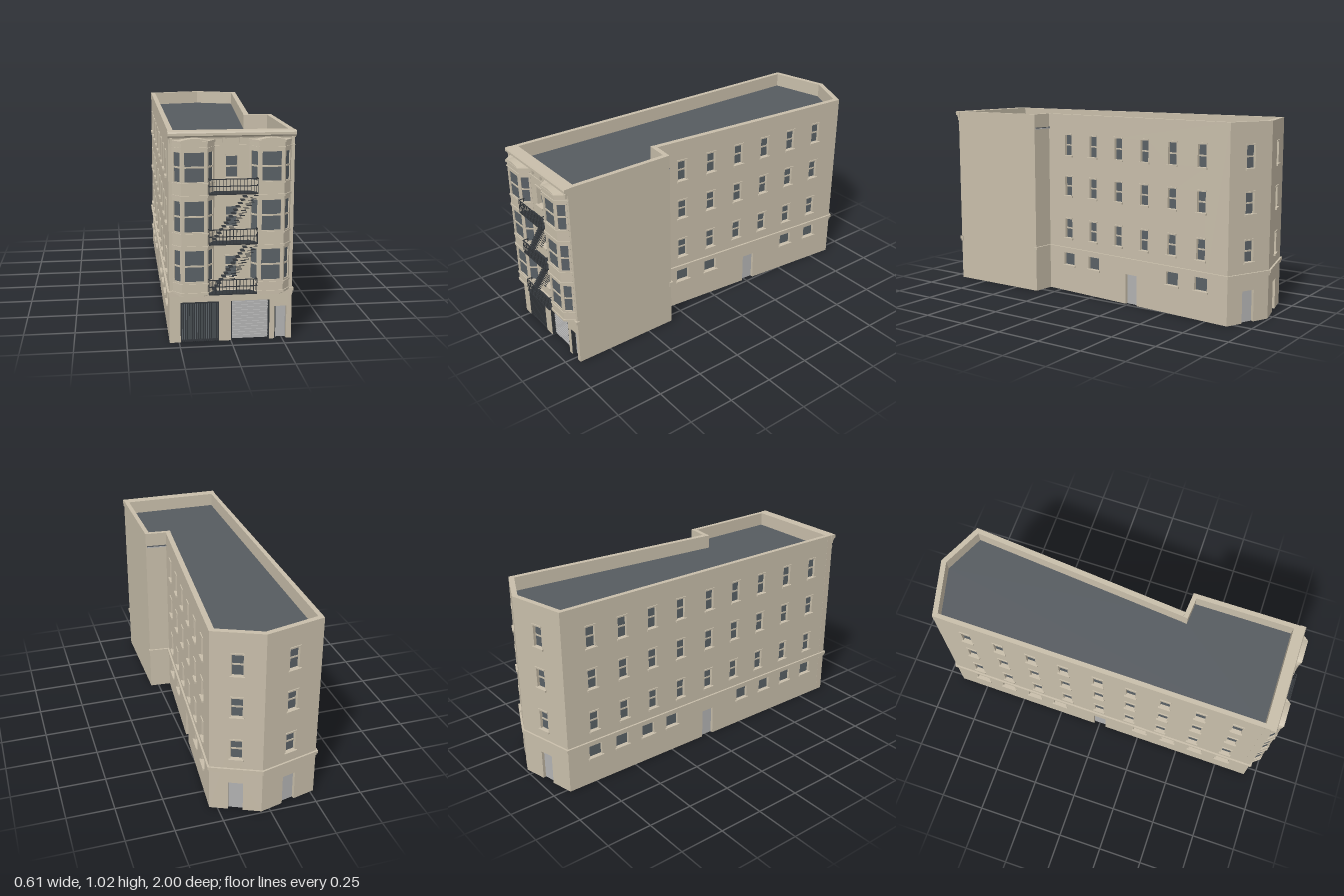
import * as THREE from 'three';

const mat = (name, color, side = THREE.FrontSide) => {
  const m = new THREE.MeshStandardMaterial({ color, side });
  m.name = name;
  return m;
};
const stone = mat('stone', 0xc8beaa);
const glass = mat('glass', 0x5a6166);
const roofing = mat('roofing', 0x565b60);
const grey = mat('pale grey', 0xb2b2b2, THREE.DoubleSide);
const iron = mat('iron', 0x33373b);

const H = 1.02, ROOF = 0.945;

function add(parent, name, geo, material, x = 0, y = 0, z = 0) {
  const m = new THREE.Mesh(geo, material);
  m.name = name;
  m.position.set(x, y, z);
  parent.add(m);
  return m;
}
// Box given by its limits
function box(parent, name, material, x0, x1, y0, y1, z0, z1) {
  return add(parent, name, new THREE.BoxGeometry(x1 - x0, y1 - y0, z1 - z0), material,
    (x0 + x1) / 2, (y0 + y1) / 2, (z0 + z1) / 2);
}
// Plan outline [x, z] raised into a solid slab
function slab(parent, name, material, pts, y0, y1) {
  const s = new THREE.Shape(pts.map(([x, z]) => new THREE.Vector2(x, -z)));
  const g = new THREE.ExtrudeGeometry(s, { depth: y1 - y0, bevelEnabled: false });
  g.rotateX(-Math.PI / 2);
  return add(parent, name, g, material, 0, y0, 0);
}
// Elevation with door notches along the foot and window holes
function elevation(u0, u1, y0, y1, openings) {
  const s = new THREE.Shape();
  s.moveTo(u0, y0);
  openings.filter(o => o.y0 <= y0).sort((a, b) => a.u - b.u).forEach(o => {
    const a = o.u - o.w / 2, b = o.u + o.w / 2;
    s.lineTo(a, y0); s.lineTo(a, o.y1); s.lineTo(b, o.y1); s.lineTo(b, y0);
  });
  s.lineTo(u1, y0); s.lineTo(u1, y1); s.lineTo(u0, y1); s.closePath();
  openings.filter(o => o.y0 > y0).forEach(o => {
    const a = o.u - o.w / 2, b = o.u + o.w / 2, h = new THREE.Path();
    h.moveTo(a, o.y0); h.lineTo(a, o.y1); h.lineTo(b, o.y1); h.lineTo(b, o.y0); h.closePath();
    s.holes.push(h);
  });
  return s;
}
// What fills an opening: window, low window, door, shutter or grille
function fill(g, o, t) {
  const a = o.u - o.w / 2, b = o.u + o.w / 2, d = -t * 0.6;
  if (o.kind === 'door' || o.kind === 'shutter') {
    box(g, o.kind, grey, a, b, o.y0, o.y1, d - 0.004, d);
    if (o.kind === 'shutter')
      for (let y = 0.01; y < o.y1; y += 0.014) box(g, 'shutterSlat', grey, a, b, y, y + 0.008, d, d + 0.004);
    if (o.jamb) for (const x of [a, b - 0.005]) box(g, 'doorJamb', iron, x, x + 0.005, o.y0, o.y1, d, -0.002);
    return;
  }
  box(g, 'windowGlass', glass, a, b, o.y0, o.y1, d - 0.004, d);
  if (o.kind === 'grille') {
    for (let i = 0; i <= 17; i++) {
      const x = a + 0.003 + (o.w - 0.006) * i / 17;
      box(g, 'grilleBar', iron, x - 0.003, x + 0.003, 0, o.y1, -0.008, -0.002);
    }
    for (const y of [0.003, o.y1 - 0.008]) box(g, 'grilleRail', iron, a, b, y, y + 0.008, -0.009, -0.001);
    return;
  }
  const mid = (o.y0 + o.y1) / 2;
  if (o.kind !== 'low') box(g, 'sashRail', stone, a, b, mid - 0.004, mid + 0.004, d, d + 0.004);
  if (o.kind === 'bay') return;
  box(g, 'windowSill', stone, a - 0.008, b + 0.008, o.y0 - 0.01, o.y0, -0.005, 0.01);
  if (o.kind !== 'low') box(g, 'windowLintel', stone, a - 0.005, b + 0.005, o.y1, o.y1 + 0.008, -0.005, 0.005);
}
// Wall from p to q, left to right as seen from outside; local +z points outward
function wall(parent, name, p, q, y0, y1, openings, t, lined) {
  const dx = q[0] - p[0], dz = q[1] - p[1], L = Math.hypot(dx, dz);
  const g = new THREE.Group();
  g.name = name;
  g.position.set(p[0], 0, p[1]);
  g.rotation.y = Math.atan2(-dz, dx);
  parent.add(g);
  const ops = openings(L);
  const geo = new THREE.ExtrudeGeometry(elevation(0, L, y0, y1, ops), { depth: t, bevelEnabled: false });
  add(g, name + 'Panel', geo, stone, 0, 0, -t);
  if (lined) add(g, 'innerLining', new THREE.ShapeGeometry(elevation(0.01, L - 0.01, y0, ROOF - 0.005, ops)), grey, 0, 0, -t - 0.002);
  ops.forEach(o => fill(g, o, t));
  return { g, L };
}
function belt({ g, L }) {
  box(g, 'beltCourse', stone, -0.006, L + 0.006, 0.243, 0.258, -0.01, 0.01);
  box(g, 'beltMoulding', stone, -0.003, L + 0.003, 0.23, 0.243, -0.01, 0.005);
}

const op = (kind, u, w, y0, y1, jamb) => ({ kind, u, w, y0, y1, jamb });
const ROWS = [[0.315, 0.425], [0.56, 0.668], [0.79, 0.905]];
const BAY_ROWS = [[0.315, 0.465], [0.555, 0.70], [0.79, 0.927]];

// Side wall openings placed by their z position
function sideOpenings(p, q, columns, lows, door) {
  return L => {
    const u = z => L * (z - p[1]) / (q[1] - p[1]);
    return [
      ...columns.flatMap(z => ROWS.map(r => op('window', u(z), 0.052, ...r))),
      ...lows.map(z => op('low', u(z), 0.077, 0.155, 0.225)),
      op('door', u(door), 0.075, 0, 0.167)];
  };
}
const backOpenings = L => [
  ...ROWS.map(r => op('window', L / 2, 0.056, ...r)), op('door', L / 2, 0.075, 0, 0.167)];

// Bay plan, wider by grow
function bayPlan(cx, grow) {
  const a = 0.098 + grow, b = 0.06 + grow * 0.6, z = 0.981 + grow;
  return [[cx - a, 0.93], [cx - a, 0.936], [cx - b, z], [cx + b, z], [cx + a, 0.936], [cx + a, 0.93]];
}
function bay(parent, cx) {
  const g = new THREE.Group();
  g.name = 'bayWindow';
  parent.add(g);
  const pts = bayPlan(cx, 0).slice(1, 5);
  [0.04, 0.09, 0.04].forEach((w, i) => wall(g, 'bayFace', pts[i], pts[i + 1], 0.255, 0.975,
    L => BAY_ROWS.map(r => op('bay', L / 2, w, ...r)), 0.01));
  // Corbels, sills and cornices stacked up the bay
  [[-0.022, 0.235, 0.244], [-0.008, 0.244, 0.252], [0.005, 0.252, 0.262], [0.004, 0.298, 0.306],
    [0.005, 0.478, 0.488], [0.004, 0.54, 0.548], [0.005, 0.718, 0.728], [0.004, 0.778, 0.786],
    [0.004, 0.945, 0.95], [0.006, 0.97, 0.98]]
    .forEach(([grow, y0, y1]) => slab(g, 'bayMoulding', stone, bayPlan(cx, grow), y0, y1));
  // Shallow curved hood
  const s = new THREE.Shape();
  s.moveTo(-0.065, 0);
  s.lineTo(0.065, 0);
  s.quadraticCurveTo(0, 0.022, -0.065, 0);
  add(g, 'bayHood', new THREE.ExtrudeGeometry(s, { depth: 0.05, bevelEnabled: false, curveSegments: 10 }), stone, cx, 0.98, 0.935);
}

function fireEscape(parent) {
  const g = new THREE.Group();
  g.name = 'fireEscape';
  parent.add(g);
  const W = 0.113, F = 0.998;
  const bases = [0.252, 0.494, 0.732];
  bases.forEach(y => {
    slab(g, 'escapePlatform', iron, [[-0.082, 0.936], [-W, 0.975], [-W, F], [W, F], [W, 0.975], [0.082, 0.936]], y, y + 0.006);
    for (const h of [0.038, 0.071]) {
      box(g, 'escapeRail', iron, -W, W, y + h, y + h + 0.004, F - 0.004, F);
      for (const s of [-1, 1]) box(g, 'sideRail', iron, s * W - 0.002, s * W + 0.002, y + h, y + h + 0.004, 0.965, F);
    }
    for (let i = 0; i <= 14; i++) {
      const x = -W + 2 * W * i / 14;
      box(g, 'escapeBaluster', iron, x - 0.0013, x + 0.0013, y, y + 0.073, F - 0.003, F);
    }
    for (const s of [-1, 1]) box(g, 'sidePost', iron, s * W - 0.002, s * W + 0.002, y, y + 0.073, 0.968, 0.972);
  });
  // Stair treads with a stepped rail alongside
  bases.slice(0, 2).forEach(y => {
    for (let i = 0; i < 15; i++) {
      const x = -0.085 + 0.011 * i, h = y + 0.02 + 0.0155 * i;
      box(g, 'stairTread', iron, x - 0.01, x + 0.01, h, h + 0.003, 0.95, 0.985);
      if (i > 2 && i < 14)
        for (const z of [0.95, 0.982]) box(g, 'steppedRail', iron, x - 0.052, x - 0.034 + 0.006, h + 0.006, h + 0.009, z, z + 0.003).position.x += 0.09;
    }
  });
}

export function createModel() {
  const model = new THREE.Group();
  model.name = 'cornerBuilding';
  const FL = [-0.295, 0.935], FR = [0.295, 0.935], NR = [0.295, 0.345], NI = [0.177, 0.335],
    BR = [0.288, -0.88], BP = [0.045, -0.99], BL = [-0.27, -0.912];

  // Street front
  belt(wall(model, 'frontWall', FL, FR, 0, H, () => [
    op('grille', 0.145, 0.185, 0, 0.2), op('shutter', 0.389, 0.187, 0, 0.2, true),
    op('door', 0.539, 0.063, 0, 0.165, true),
    ...[[0.32, 0.425], [0.565, 0.665], [0.80, 0.903]].map(r => op('window', 0.295, 0.054, ...r))], 0.04, true));

  // Side and back walls
  wall(model, 'rightFrontWall', FR, NR, 0, H, () => [], 0.025, true);
  belt(wall(model, 'notchWall', NR, [0.148, 0.333], 0, H, () => [], 0.025, true));
  belt(wall(model, 'rightWall', NI, BR, 0, H, sideOpenings(NI, BR,
    [0.187, 0.003, -0.177, -0.355, -0.535, -0.717], [0.185, 0.0, -0.54, -0.72], -0.268), 0.028, true));
  belt(wall(model, 'backRightWall', BR, BP, 0, H, backOpenings, 0.028, true));
  belt(wall(model, 'backLeftWall', BP, BL, 0, H, backOpenings, 0.028, true));
  belt(wall(model, 'leftWall', BL, FL, 0, H, sideOpenings(BL, FL,
    [-0.747, -0.56, -0.375, -0.19, 0.005, 0.19, 0.38, 0.575, 0.775],
    [-0.747, -0.58, -0.41, -0.25, 0.26, 0.435, 0.606, 0.775], 0.005), 0.025, true));

  // Flat roof behind the parapet
  const plan = [FL, FR, NR, NI, BR, BP, BL].map(([x, z]) => [x * 0.98, z * 0.98]);
  slab(model, 'roof', roofing, plan, ROOF - 0.004, ROOF);
  slab(model, 'ceiling', grey, plan, ROOF - 0.01, ROOF - 0.005);

  // Front cornice with a cove underneath
  const s = new THREE.Shape();
  s.moveTo(-0.01, 0.985);
  s.lineTo(0.006, 0.985);
  s.quadraticCurveTo(0.008, 0.998, 0.022, 1.0);
  s.lineTo(0.022, 1.012);
  s.lineTo(0.018, H);
  s.lineTo(-0.01, H);
  s.closePath();
  const cornice = new THREE.ExtrudeGeometry(s, { depth: 0.596, bevelEnabled: false, curveSegments: 6 });
  cornice.rotateY(-Math.PI / 2);
  // Profile depth runs along z after the turn
  cornice.rotateY(Math.PI);
  cornice.scale(1, 1, -1);
  const idx = cornice.attributes;
  for (const key of ['position', 'normal', 'uv']) {
    const a = idx[key], n = a.itemSize;
    for (let i = 0; i < a.count; i += 3)
      for (let k = 0; k < n; k++) {
        const v = a.array[(i + 1) * n + k];
        a.array[(i + 1) * n + k] = a.array[(i + 2) * n + k];
        a.array[(i + 2) * n + k] = v;
      }
  }
  cornice.computeBoundingBox();
  const bb = cornice.boundingBox;
  add(model, 'frontCornice', cornice, stone, -(bb.min.x + bb.max.x) / 2, 0, bb.max.z > 0.015 ? 0.935 : 0.947);
  box(model, 'friezeMoulding', stone, -0.295, 0.295, 0.948, 0.953, 0.93, 0.939);
  for (const x of [-0.283, -0.04, 0.04, 0.283]) box(model, 'corniceBracket', stone, x - 0.006, x + 0.006, 0.966, 0.99, 0.93, 0.948);

  for (const cx of [-0.18, 0.18]) bay(model, cx);
  fireEscape(model);
  return model;
}
